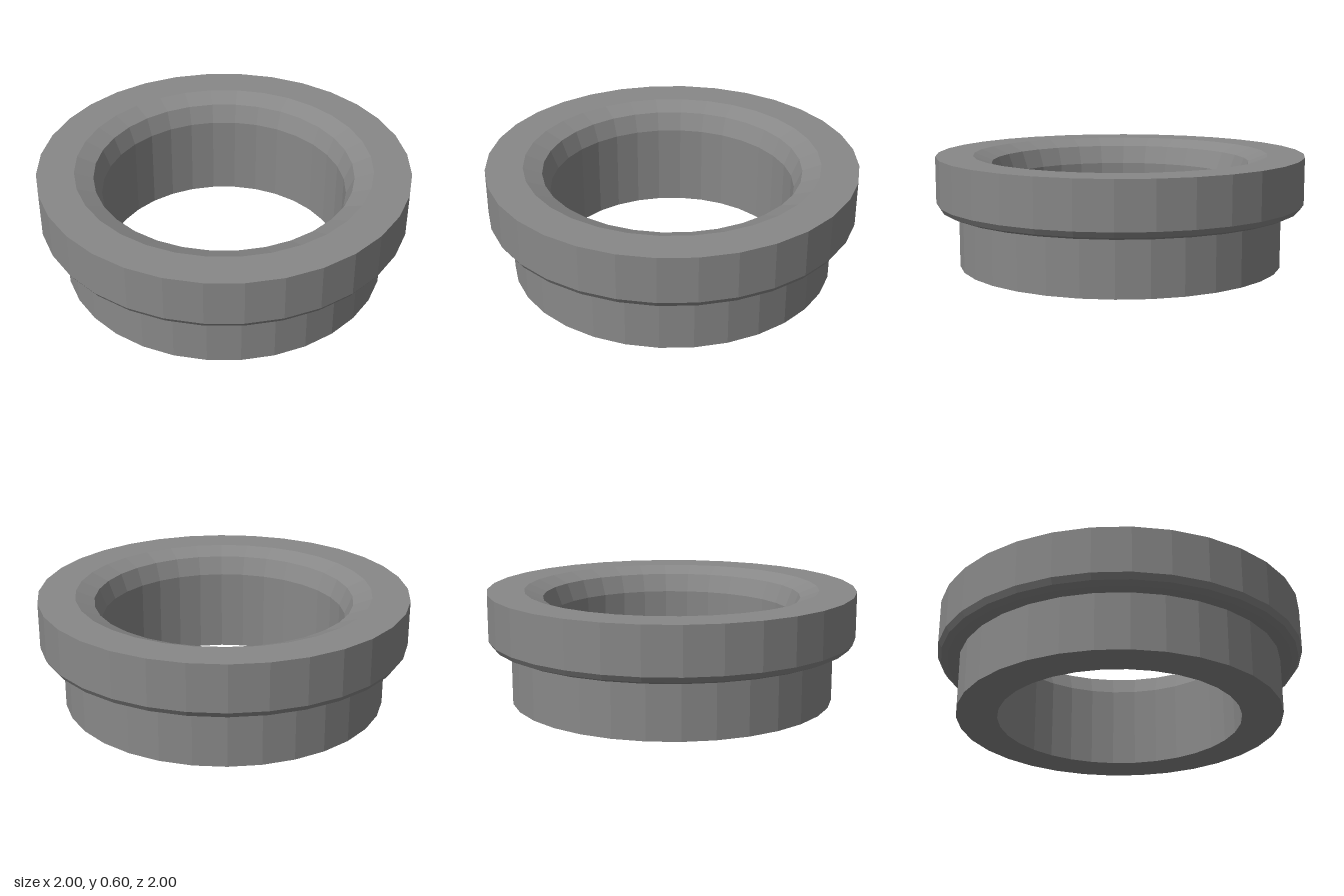
import * as THREE from 'three';

const SIDES = 32;

// Revolve a list of [radius, height] points around the y axis
function revolve(name, profile, material) {
  const points = profile.map(([r, y]) => new THREE.Vector2(r, y));
  const mesh = new THREE.Mesh(new THREE.LatheGeometry(points, SIDES), material);
  mesh.name = name;
  return mesh;
}

export function createModel() {
  const model = new THREE.Group();
  model.name = 'flangedBushing';
  const grey = new THREE.MeshStandardMaterial({ color: 0x888888, flatShading: true });
  grey.name = 'grey';

  // Narrow lower sleeve: underside and outer wall
  model.add(revolve('sleeve', [[0.66, 0], [0.88, 0], [0.88, 0.305]], grey));

  // Wide collar with a rounded lower edge and a flat top
  model.add(revolve('collar', [
    [0.88, 0.305], [0.945, 0.305], [0.98, 0.32], [1, 0.35], [1, 0.6], [0.8, 0.6],
  ], grey));

  // Dished lip that funnels into the straight bore
  model.add(revolve('bore', [[0.8, 0.6], [0.7, 0.56], [0.66, 0.46], [0.66, 0]], grey));

  return model;
}
